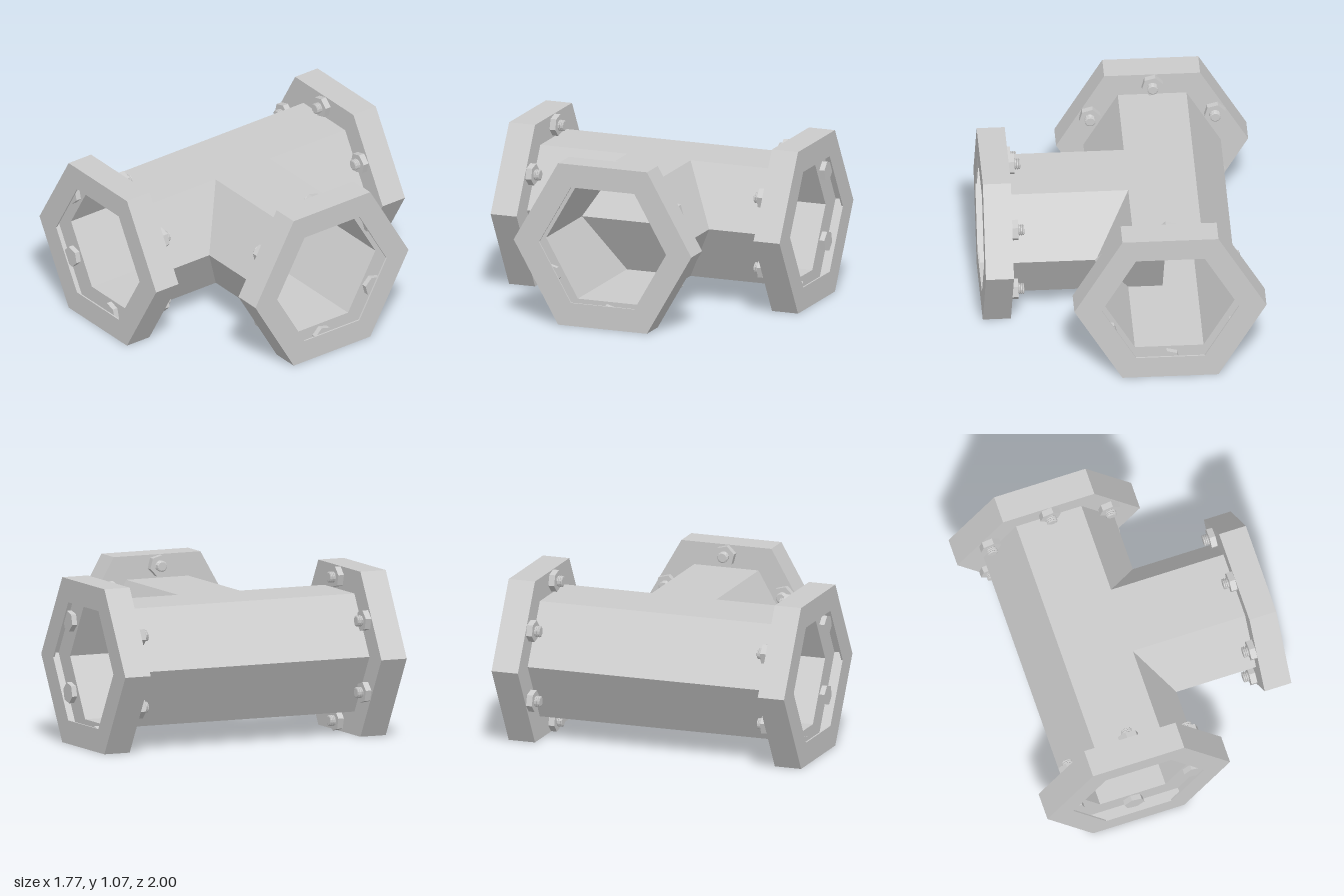
import * as THREE from 'three';

const PIPE_R = 0.44, FLANGE_R = 0.615, FLANGE_DEPTH = 0.18;
const AXIS_X = -0.272, AXIS_Y = 0.533;

const material = new THREE.MeshStandardMaterial({
  color: 0xcccccc, flatShading: true, side: THREE.DoubleSide,
});

function mesh(name, geometry) {
  const m = new THREE.Mesh(geometry, material);
  m.name = name;
  return m;
}

// Turned profile of [radius, z] points around the z axis, with a corner on +x
function turned(profile, sides) {
  const points = profile.map(([r, z]) => new THREE.Vector2(r, z));
  return new THREE.LatheGeometry(points, sides, Math.PI / 2).rotateX(Math.PI / 2);
}

// Open hexagonal pipe between two z positions
function pipe(name, z0, z1) {
  return mesh(name, turned([[PIPE_R, z0], [PIPE_R, z1]], 6));
}

// Bolt through the back plate (z = 0 to 0.06): head inside, nut and thread behind
function bolt() {
  const g = new THREE.Group();
  g.name = 'bolt';
  g.add(mesh('boltHead', turned([[0, 0.055], [0.068, 0.055], [0.068, 0.095], [0, 0.095]], 6)));
  g.add(mesh('nut', turned([[0.034, -0.04], [0.07, -0.04], [0.07, 0.002], [0.034, 0.002]], 6)));
  const thread = [[0, -0.078], [0.028, -0.078]];
  for (let i = 0; i < 4; i++) {
    const z = -0.074 + i * 0.012;
    thread.push([0.036, z], [0.036, z + 0.004], [0.029, z + 0.008]);
  }
  thread.push([0.029, 0]);
  g.add(mesh('boltThread', turned(thread, 12)));
  return g;
}

// Hollow hexagonal flange with a bolt in the middle of each side
function flange(name) {
  const g = new THREE.Group();
  g.name = name;
  const d = FLANGE_DEPTH, cavity = FLANGE_R - 0.008;
  g.add(mesh('flangeRing', turned([
    [PIPE_R, 0], [FLANGE_R, 0], [FLANGE_R, d], [PIPE_R, d],
    [PIPE_R, d - 0.01], [cavity, d - 0.01], [cavity, 0.06], [PIPE_R, 0.06], [PIPE_R, 0],
  ], 6)));
  for (let i = 0; i < 6; i++) {
    const a = Math.PI / 6 + i * Math.PI / 3;
    const b = bolt();
    b.position.set(0.463 * Math.cos(a), 0.463 * Math.sin(a), 0);
    b.rotation.z = a + 0.26;
    g.add(b);
  }
  return g;
}

export function createModel() {
  const model = new THREE.Group();
  model.name = 'pipeTee';

  // Straight run with a flange at each end
  const run = new THREE.Group();
  run.name = 'mainRun';
  run.position.set(AXIS_X, AXIS_Y, 0);
  run.add(pipe('mainPipe', -0.82, 0.82));
  for (const [name, turn] of [['frontFlange', 0], ['backFlange', Math.PI]]) {
    const end = new THREE.Group();
    end.name = name + 'End';
    end.rotation.y = turn;
    const f = flange(name);
    f.position.z = 0.82;
    end.add(f);
    run.add(end);
  }
  model.add(run);

  // Side branch, starting on the axis of the run
  const branch = new THREE.Group();
  branch.name = 'branch';
  branch.position.set(AXIS_X, AXIS_Y, 0);
  branch.rotation.y = Math.PI / 2;
  branch.add(pipe('branchPipe', 0, 0.977));
  const side = flange('branchFlange');
  side.position.z = 0.977;
  branch.add(side);
  model.add(branch);

  return model;
}
